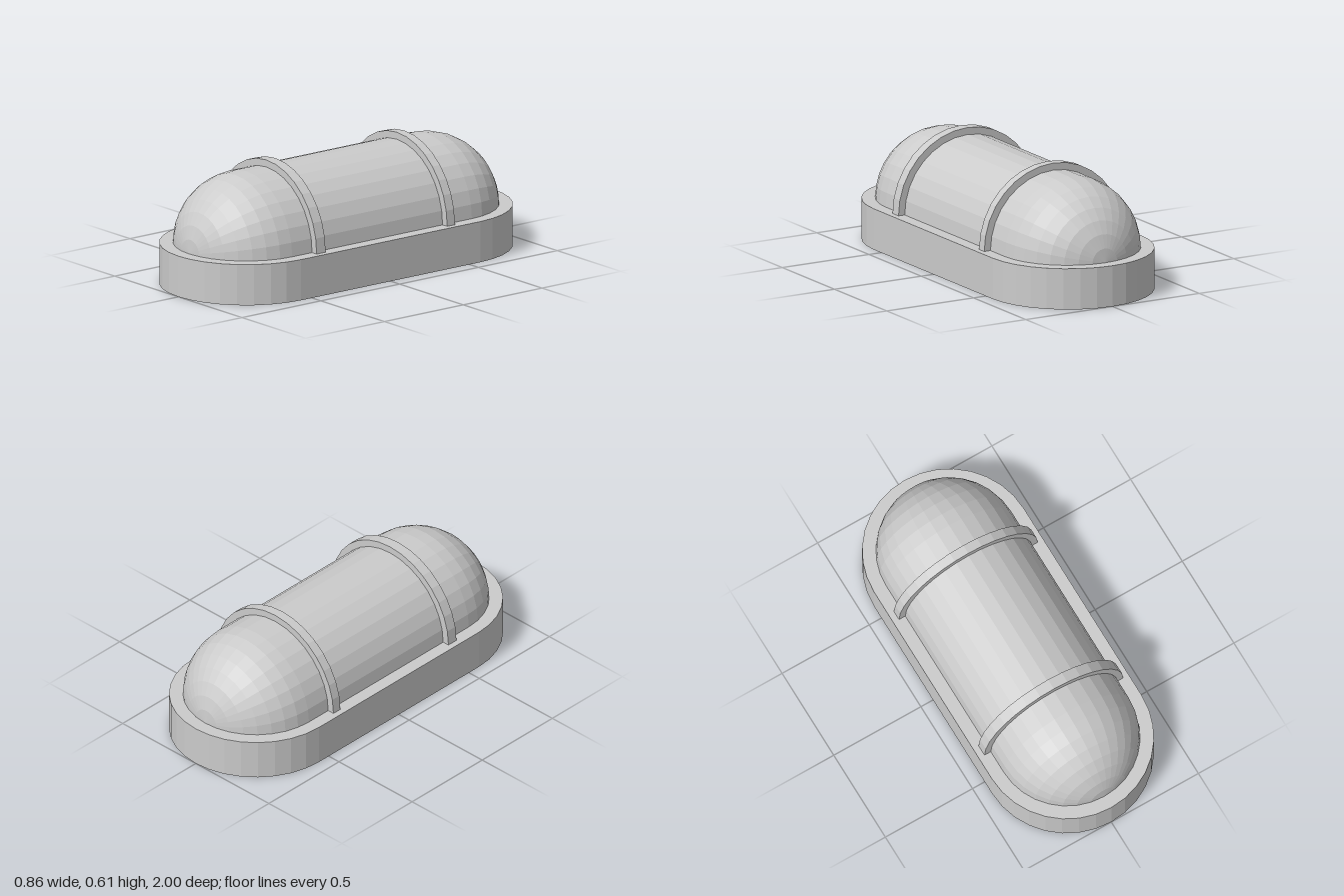
import * as THREE from 'three';

const BASE_H = 0.208;   // plinth height, also the axis height of the cover
const HALF = 0.57;      // half length of the straight section
const BASE_R = 0.43;
const COVER_R = 0.362;
const STRAP_R = 0.398;
const ARC = 8;          // an arc gets twice this number of sides

export function createModel() {
  const group = new THREE.Group();
  const material = new THREE.MeshStandardMaterial({ color: 0xcccccc, flatShading: true });

  const add = (name, geometry, y = 0, z = 0) => {
    const mesh = new THREE.Mesh(geometry, material);
    mesh.name = name;
    mesh.position.set(0, y, z);
    group.add(mesh);
  };
  const extrude = (shape, depth) =>
    new THREE.ExtrudeGeometry(shape, { depth, bevelEnabled: false, curveSegments: ARC });

  // Plinth with rounded ends
  const outline = new THREE.Shape();
  outline.absarc(0, HALF, BASE_R, 0, Math.PI, false);
  outline.absarc(0, -HALF, BASE_R, Math.PI, Math.PI * 2, false);
  outline.closePath();
  add('base', extrude(outline, BASE_H).rotateX(-Math.PI / 2));

  // Upper half of a capsule lying along z
  const profile = [];
  for (const end of [-1, 1]) {
    for (let i = 0; i <= 8; i++) {
      const a = (end < 0 ? 8 - i : i) / 8 * Math.PI / 2;
      profile.push(new THREE.Vector2(COVER_R * Math.cos(a), end * (HALF + COVER_R * Math.sin(a))));
    }
  }
  add('cover', new THREE.LatheGeometry(profile, 16, -Math.PI / 2, Math.PI).rotateX(-Math.PI / 2), BASE_H);

  // Half-ring straps over the cover
  const strap = new THREE.Shape();
  strap.absarc(0, 0, STRAP_R, 0, Math.PI, false);
  strap.absarc(0, 0, COVER_R - 0.006, Math.PI, 0, true);
  strap.closePath();
  add('frontStrap', extrude(strap, 0.057), BASE_H, 0.387);
  add('backStrap', extrude(strap, 0.049), BASE_H, -0.433);

  return group;
}
